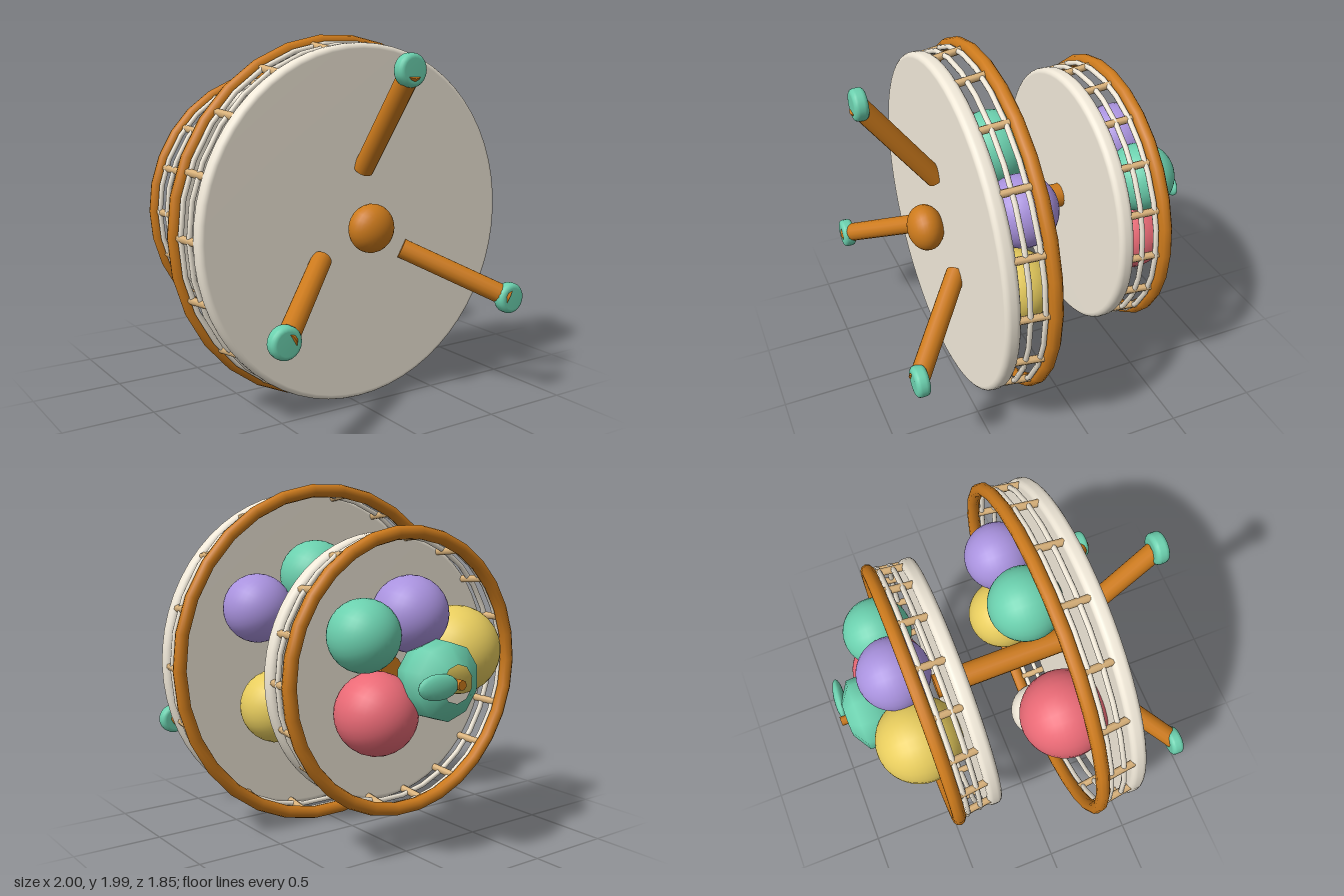
import * as THREE from 'three';

const mat = (color) => new THREE.MeshStandardMaterial({ color });
const wood = mat(0xcc7a1c), cream = mat(0xf0e8d8), tan = mat(0xdcb47c), mint = mat(0x6bd0ae);
const red = mat(0xea6a76), purple = mat(0xa992de), yellow = mat(0xe8cd5e);

function add(parent, name, geometry, material, x = 0, y = 0, z = 0) {
  const mesh = new THREE.Mesh(geometry, material);
  mesh.name = name;
  mesh.position.set(x, y, z);
  parent.add(mesh);
  return mesh;
}

// Round rod between two points
function rod(parent, name, a, b, radius, sides, material) {
  const dir = b.clone().sub(a);
  const mesh = add(parent, name, new THREE.CylinderGeometry(radius, radius, dir.length(), sides), material);
  mesh.position.copy(a).add(b).multiplyScalar(0.5);
  mesh.quaternion.setFromUnitVectors(new THREE.Vector3(0, 1, 0), dir.normalize());
}

// Solid disc with rounded edges, centred on its own middle
function roundedDisc(radius, height, bevel, segments) {
  const pts = [new THREE.Vector2(0, -height / 2)];
  for (const [cy, start] of [[bevel - height / 2, -Math.PI / 2], [height / 2 - bevel, 0]]) {
    for (let i = 0; i <= 4; i++) {
      const t = start + (i / 4) * Math.PI / 2;
      pts.push(new THREE.Vector2(radius - bevel + bevel * Math.cos(t), cy + bevel * Math.sin(t)));
    }
  }
  pts.push(new THREE.Vector2(0, height / 2));
  return new THREE.LatheGeometry(pts, segments);
}

const ring = (radius, tube, sides) => new THREE.TorusGeometry(radius, tube, sides, 30).rotateX(Math.PI / 2);
const polar = (r, a, y) => new THREE.Vector3(r * Math.cos(a), y, r * Math.sin(a));

// Basket tier: plate, two thin rails, leaning spindles and a thick rim
function tier(name, plateRadius, rimRadius, base) {
  const g = new THREE.Group();
  g.name = name;
  add(g, 'plate', roundedDisc(plateRadius, 0.086, 0.03, 60), cream, 0, base + 0.043, 0);
  add(g, 'lowerRail', ring(plateRadius - 0.012, 0.015, 8), cream, 0, base + 0.132, 0);
  add(g, 'upperRail', ring(plateRadius - 0.002, 0.015, 8), cream, 0, base + 0.208, 0);
  add(g, 'rim', ring(rimRadius, 0.037, 10), wood, 0, base + 0.26, 0);
  for (let i = 0; i < 18; i++) {
    const a = i * Math.PI / 9;
    rod(g, 'spindle', polar(plateRadius - 0.025, a, base + 0.07), polar(rimRadius - 0.008, a, base + 0.25), 0.021, 7, tan);
  }
  return g;
}

export function createModel() {
  const model = new THREE.Group();
  model.name = 'tieredFruitStand';

  // The stand is built upright, then laid on its side so its top points back
  const stand = new THREE.Group();
  stand.name = 'stand';
  stand.rotation.x = -Math.PI / 2;
  stand.position.y = 0.995;
  model.add(stand);

  stand.add(tier('lowerTier', 0.955, 0.963, -0.505), tier('upperTier', 0.74, 0.743, 0.235));

  // Centre post and the knob under the lower plate
  rod(stand, 'post', new THREE.Vector3(0, -0.5, 0), new THREE.Vector3(0, 0.36, 0), 0.07, 16, wood);
  add(stand, 'knob', new THREE.SphereGeometry(0.13, 24, 16), wood, 0, -0.585, 0).scale.y = 0.77;

  // Three splayed legs with rounded feet
  for (let i = 0; i < 3; i++) {
    const a = Math.PI / 2 + i * Math.PI * 2 / 3;
    rod(stand, 'leg', polar(0.303, a, -0.509), polar(0.815, a, -0.886), 0.055, 14, wood);
    const foot = add(stand, 'foot', roundedDisc(0.084, 0.075, 0.025, 20), mint);
    foot.position.copy(polar(0.822, a, -0.882));
  }

  // Round fruit: x, height, depth, radius, material
  const fruits = [
    [-0.46, -0.23, 0.17, 0.245, red], [-0.22, -0.2, -0.445, 0.16, cream],
    [0.1, -0.22, 0.475, 0.205, mint], [0.38, -0.21, -0.255, 0.21, yellow],
    [0.49, -0.22, 0.313, 0.192, purple], [-0.29, 0.55, 0.105, 0.243, yellow],
    [0.26, 0.56, -0.175, 0.22, red], [0.34, 0.56, 0.235, 0.19, mint],
    [0.04, 0.56, 0.325, 0.202, purple],
  ];
  for (const [x, y, z, r, m] of fruits) add(stand, 'fruit', new THREE.SphereGeometry(r, 28, 20), m, x, y, z);

  // Top fruit: few-sided body open around the stem, with one leaf
  const profile = [[0.08, 0.55], [0.17, 0.61], [0.21, 0.72], [0.205, 0.82], [0.1, 0.885]];
  const topFruit = new THREE.Group();
  topFruit.name = 'topFruit';
  stand.add(topFruit);
  add(topFruit, 'body', new THREE.LatheGeometry(profile.map(([r, h]) => new THREE.Vector2(r, h)), 10), mint);
  rod(topFruit, 'stem', new THREE.Vector3(0, 0.8, 0), new THREE.Vector3(0, 0.922, 0), 0.027, 7, wood);
  const leaf = add(topFruit, 'leaf', new THREE.SphereGeometry(1, 16, 10), mint, 0.13, 0.888, 0);
  leaf.scale.set(0.12, 0.032, 0.068);
  leaf.rotation.z = -0.1;

  return model;
}
